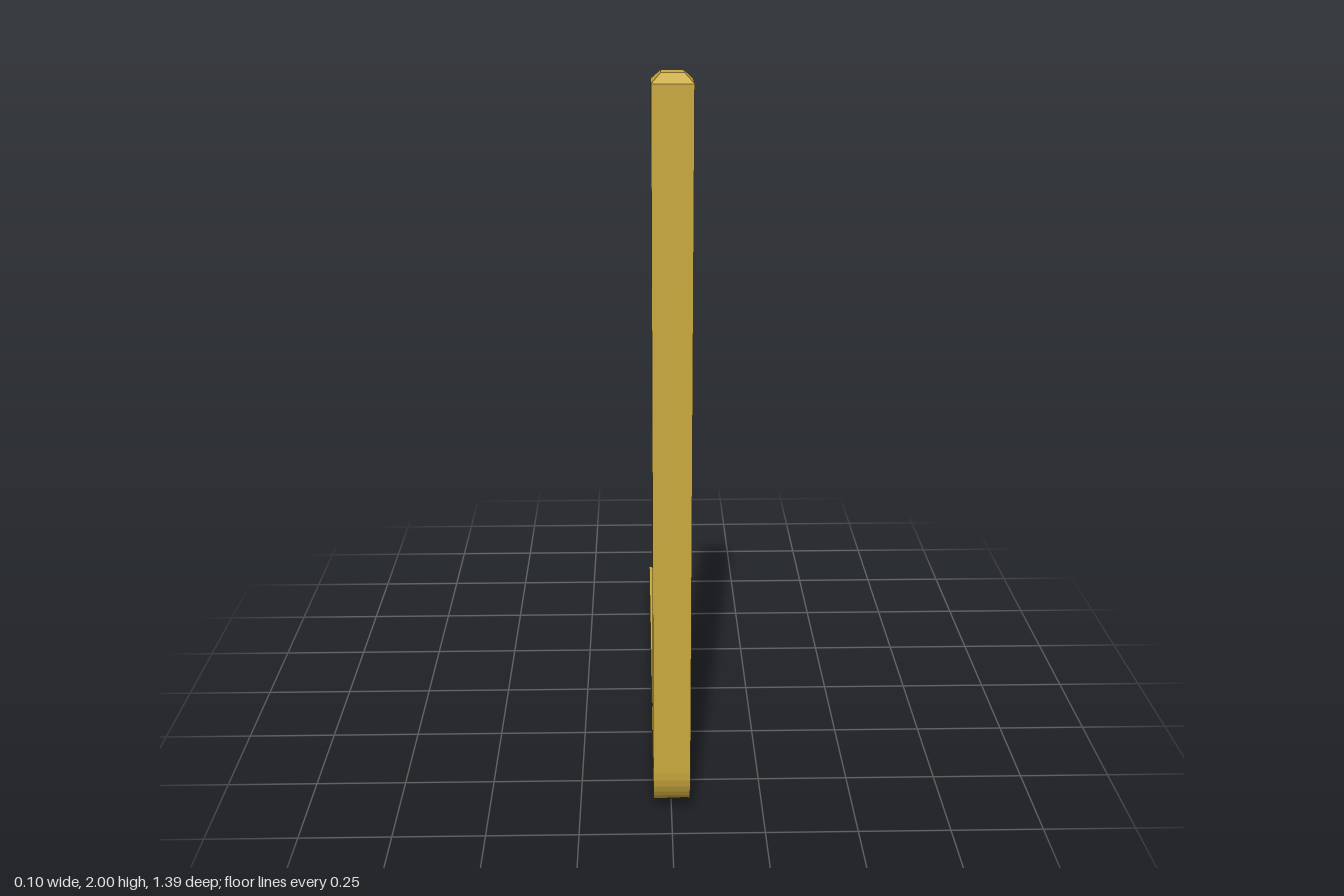
import * as THREE from 'three';

// Square bar bent into an L, with chamfered ends
export function createModel() {
  const half = 0.05, tip = 0.027, chamfer = 0.023;
  const bendY = 0.15, bendZ = 0.543, bendRadius = 0.1, bendSteps = 10;
  const backZ = -0.693, topY = 2;

  // Stations along the bar: centre, bend angle and half width
  const stations = [];
  const add = (y, z, angle, h = half) => stations.push({ y, z, angle, h });
  add(half, backZ, 0, tip);
  add(half, backZ + chamfer, 0);
  for (let i = 0; i <= bendSteps; i++) {
    const a = (i / bendSteps) * Math.PI / 2;
    add(bendY - bendRadius * Math.cos(a), bendZ + bendRadius * Math.sin(a), a);
  }
  add(topY - chamfer, bendZ + bendRadius, Math.PI / 2);
  add(topY, bendZ + bendRadius, Math.PI / 2, tip);

  // Square cross-section at each station
  const positions = [];
  const corners = [[1, -1], [1, 1], [-1, 1], [-1, -1]];
  for (const { y, z, angle, h } of stations) {
    for (const [out, side] of corners) {
      positions.push(side * h, y - out * h * Math.cos(angle), z + out * h * Math.sin(angle));
    }
  }

  // Side faces and end caps
  const index = [0, 2, 1, 0, 3, 2];
  for (let i = 0; i < stations.length - 1; i++) {
    for (let k = 0; k < 4; k++) {
      const a = i * 4 + k, b = i * 4 + (k + 1) % 4;
      index.push(a, b, b + 4, a, b + 4, a + 4);
    }
  }
  const e = (stations.length - 1) * 4;
  index.push(e, e + 1, e + 2, e, e + 2, e + 3);

  const indexed = new THREE.BufferGeometry();
  indexed.setAttribute('position', new THREE.Float32BufferAttribute(positions, 3));
  indexed.setIndex(index);
  const geometry = indexed.toNonIndexed();
  geometry.computeVertexNormals();

  const bar = new THREE.Mesh(geometry, new THREE.MeshStandardMaterial({ color: 0xc9a83e, flatShading: true }));
  bar.name = 'bentBar';
  const group = new THREE.Group();
  group.name = 'bentSquareBar';
  group.add(bar);
  return group;
}
